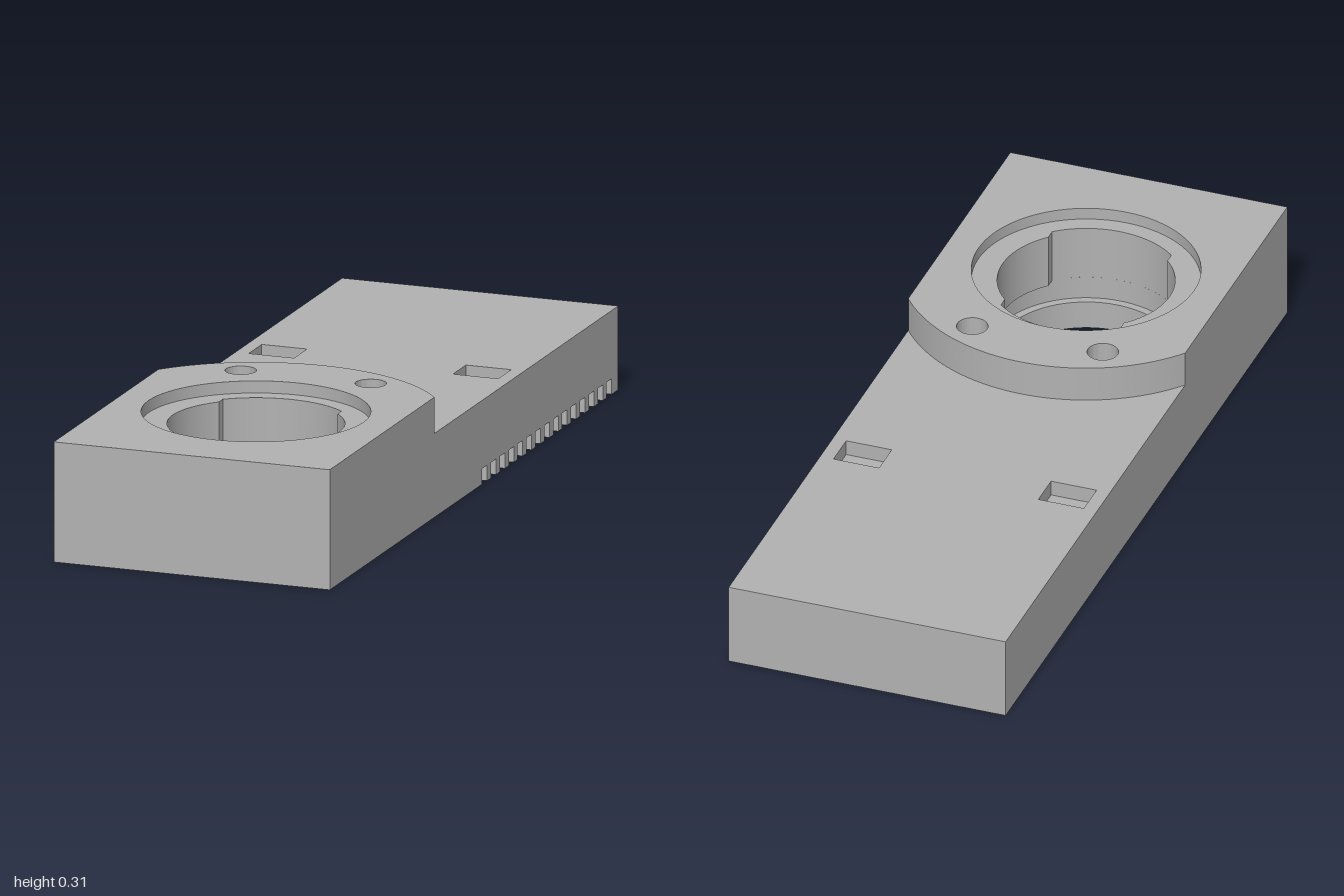
import * as THREE from 'three';
import { toCreasedNormals } from 'three/addons/utils/BufferGeometryUtils.js';

const W = 0.365, L = 1, WALL = 0.055;      // half width, half length, skirt thickness
const CEIL = 0.08, DECK = 0.215, TOP = 0.308;
const LIP = 0.075, GROOVE = 0.135, SEAT = 0.277; // heights inside the socket
const CZ = 0.555, BORE = 0.22, WIDE = 0.24;  // socket centre and radii

// Plan outlines use (x, -z), so they extrude upward after rotation.
function rect(x0, x1, z0, z1) {
  return new THREE.Shape([[x0, z1], [x1, z1], [x1, z0], [x0, z0]].map(([x, z]) => new THREE.Vector2(x, -z)));
}
function circle(x, z, r) {
  return new THREE.Shape().absarc(x, -z, r, 0, Math.PI * 2, false);
}

// Round bore with a key slot at the front and the back
function keyedBore() {
  const s = new THREE.Shape(), half = 0.157;
  const a = Math.acos(half / BORE), b = Math.acos(half / WIDE);
  for (const t of [0, Math.PI]) {
    s.absarc(0, -CZ, BORE, t - a, t + a, false);
    s.absarc(0, -CZ, WIDE, t + b, t + Math.PI - b, false);
  }
  s.closePath();
  return s;
}

// Raised front block whose rear edge is an arc
function platformOutline() {
  const r = 0.46, a = Math.acos(W / r);
  const s = new THREE.Shape();
  s.moveTo(-W, -L);
  s.lineTo(W, -L);
  s.absarc(0, -CZ, r, a, Math.PI - a, false);
  s.closePath();
  return s;
}

export function createModel() {
  const model = new THREE.Group();
  model.name = 'mountingPlate';
  const grey = new THREE.MeshStandardMaterial({ color: 0xb2b2b2 });
  grey.name = 'plainGrey';

  function slab(name, shape, y0, y1, holes = []) {
    shape.holes = holes;
    const g = new THREE.ExtrudeGeometry(shape, { depth: y1 - y0, bevelEnabled: false, curveSegments: 40 });
    g.rotateX(-Math.PI / 2);
    g.translate(0, y0, 0);
    const mesh = new THREE.Mesh(toCreasedNormals(g, 0.5), grey);
    mesh.name = name;
    model.add(mesh);
  }
  const outline = () => rect(-W, W, -L, L);
  const inX = W - WALL, inZ = L - WALL;

  // Hollow skirt: full frame above, slotted on the left side below
  const slotTop = 0.04, slot = 0.035, pitch = 0.0617, first = -0.056, count = 15;
  slab('skirtUpper', outline(), slotTop, CEIL, [rect(-inX, inX, -inZ, inZ)]);
  slab('skirtRight', rect(-W, -inX, -L, L), 0, slotTop);
  slab('skirtFront', rect(-inX, inX, inZ, L), 0, slotTop);
  slab('skirtBack', rect(-inX, inX, -L, -inZ), 0, slotTop);
  slab('skirtLeft', rect(inX, W, first, L), 0, slotTop);
  for (let i = 0; i < count; i++) {
    const z1 = first - i * pitch - slot;
    const z0 = i === count - 1 ? -L : first - (i + 1) * pitch;
    slab('skirtTooth', rect(inX, W, z0, z1), 0, slotTop);
  }

  // Socket collar with an inner lip under the locking groove
  slab('collarLip', circle(0, CZ, 0.29), 0, LIP, [circle(0, CZ, BORE)]);
  slab('collarGroove', circle(0, CZ, 0.29), LIP, CEIL, [circle(0, CZ, WIDE)]);

  // Main deck with two rectangular pockets
  const pocketFloor = 0.175;
  slab('deckGroove', outline(), CEIL, GROOVE, [circle(0, CZ, WIDE)]);
  slab('deckCore', outline(), GROOVE, pocketFloor, [keyedBore()]);
  slab('deckTop', outline(), pocketFloor, DECK, [
    keyedBore(), rect(-0.33, -0.21, -0.35, -0.26), rect(0.21, 0.33, -0.35, -0.26)]);

  // Raised platform with screw holes and a shallow round seat
  const screwHoles = () => [-1, 1].map((s) => circle(s * 0.172, 0.21, 0.039));
  slab('platform', platformOutline(), DECK, SEAT, [keyedBore(), ...screwHoles()]);
  slab('platformSeat', platformOutline(), SEAT, TOP, [circle(0, CZ, 0.284), ...screwHoles()]);

  return model;
}
